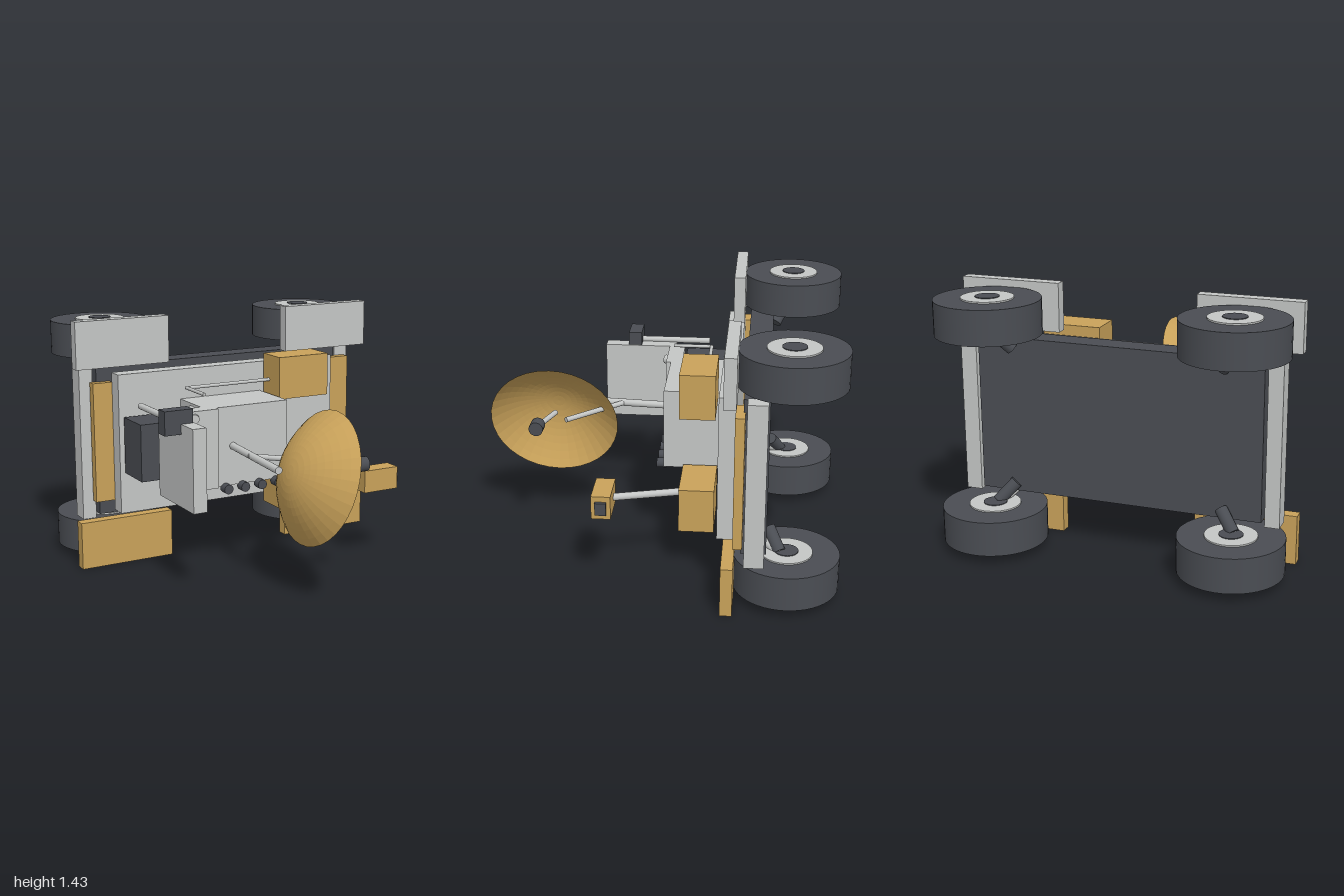
import * as THREE from 'three';

export function createModel() {
  const model = new THREE.Group();
  model.name = 'rover';
  const mat = (name, color) => {
    const m = new THREE.MeshStandardMaterial({ color });
    m.name = name;
    return m;
  };
  const grey = mat('light grey', 0xc4c6c5);
  const gold = mat('gold', 0xc9a25a);
  const dark = mat('dark grey', 0x4a4d53);
  gold.side = THREE.DoubleSide;

  const add = (name, geometry, material) => {
    const mesh = new THREE.Mesh(geometry, material);
    mesh.name = name;
    model.add(mesh);
    return mesh;
  };
  // Box given by its limits along each axis
  const box = (name, m, x0, x1, y0, y1, z0, z1) =>
    add(name, new THREE.BoxGeometry(x1 - x0, y1 - y0, z1 - z0), m)
      .position.set((x0 + x1) / 2, (y0 + y1) / 2, (z0 + z1) / 2);
  // Round bar between two points
  const rod = (name, m, from, to, r, sides = 16) => {
    const a = new THREE.Vector3(...from), b = new THREE.Vector3(...to);
    const d = b.clone().sub(a);
    const mesh = add(name, new THREE.CylinderGeometry(r, r, d.length(), sides), m);
    mesh.position.copy(a).add(b).multiplyScalar(0.5);
    mesh.quaternion.setFromUnitVectors(new THREE.Vector3(0, 1, 0), d.normalize());
    return mesh;
  };

  // Chassis, deck and cross beams
  box('chassis', dark, -0.8, 0.79, 0.285, 1.155, -0.61, -0.475);
  box('deck', grey, -0.72, 0.69, 0.31, 1.12, -0.44, -0.345);
  box('beam', grey, -0.895, -0.815, 0.26, 1.17, -0.6, -0.495);
  box('beam', grey, 0.81, 0.9, 0.26, 1.17, -0.6, -0.495);
  box('endPanel', gold, -0.835, -0.72, 0.37, 1.065, -0.485, -0.435);
  box('endPanel', gold, 0.69, 0.87, 0.35, 1.085, -0.485, -0.435);

  // Wheels, fenders and suspension arms
  for (const sx of [-1, 1]) {
    for (const sy of [-1, 1]) {
      const x = sx * 0.67, y = 0.72 + sy * 0.575, z = -0.718;
      const disc = (name, m, r, h) =>
        rod(name, m, [x, y - h / 2, z], [x, y + h / 2, z], r, 48);
      disc('tire', dark, 0.284, 0.19);
      disc('hub', grey, 0.14, 0.206);
      disc('hubCap', dark, 0.064, 0.214);
      const [y0, y1] = sy > 0 ? [1.16, 1.43] : [0, 0.275];
      box('fender', sy > 0 ? grey : gold, x - 0.283, x + 0.283, y0, y1, -0.443, -0.378);
      const py = (v) => 0.72 + sy * v;
      rod('upperArm', grey, [sx * 0.585, py(0.41), -0.56], [x, py(0.49), -0.68], 0.028);
      rod('lowerArm', dark, [sx * 0.585, py(0.38), -0.62], [x, py(0.48), -0.68], 0.035);
    }
  }

  // Body and seat
  box('body', grey, -0.335, 0.19, 0.487, 0.945, -0.345, -0.02);
  box('seat', grey, -0.555, -0.27, 0.487, 0.945, -0.085, 0.008);
  box('backrest', grey, -0.62, -0.54, 0.487, 0.945, -0.03, 0.395);
  for (const y of [0.525, 0.905])
    rod('seatStrut', grey, [-0.33, y, -0.21], [-0.425, y, 0.025], 0.026);
  for (let i = 0; i < 4; i++) {
    const x = -0.215 + i * 0.109;
    rod('knob', dark, [x, 0.475, -0.03], [x, 0.475, 0.025], 0.028, 20);
  }

  // Control console beside the seat
  box('battery', dark, -0.7, -0.41, 0.555, 0.88, -0.32, -0.09);
  rod('consolePost', grey, [-0.635, 0.955, -0.23], [-0.635, 0.955, 0.2], 0.018);
  box('console', dark, -0.715, -0.55, 0.89, 1.022, 0.18, 0.257);

  // Storage boxes and the bent handle
  box('storageBox', gold, 0.203, 0.532, 0.925, 1.173, -0.322, -0.13);
  box('storageBox', gold, 0.203, 0.532, 0.262, 0.51, -0.322, -0.13);
  rod('handleBar', grey, [0.21, 1.025, -0.255], [-0.335, 1.025, -0.255], 0.01);
  rod('handleTip', grey, [-0.335, 1.025, -0.262], [-0.335, 1.025, -0.035], 0.01);

  // Camera
  rod('cameraArm', grey, [0.495, 0.487, -0.15], [0.6, 0.487, 0.23], 0.02);
  box('camera', gold, 0.512, 0.738, 0.425, 0.555, 0.213, 0.317);
  box('lens', dark, 0.735, 0.758, 0.455, 0.525, 0.235, 0.295);

  // Dish antenna: faceted paraboloid, facing +x and slightly down
  const R = 0.369, depth = 0.187;
  const profile = [];
  for (let i = 0; i <= 10; i++) {
    const t = i / 10;
    profile.push(new THREE.Vector2(R * t, depth * (t * t - 1)));
  }
  const dishGeometry = new THREE.LatheGeometry(profile, 36).toNonIndexed();
  dishGeometry.computeVertexNormals();
  const dish = add('dish', dishGeometry, gold);
  dish.position.set(0, 0.66, 0.632);
  dish.quaternion.setFromUnitVectors(
    new THREE.Vector3(0, 1, 0), new THREE.Vector3(0.955, -0.298, 0).normalize());

  // Dish mast, brace and feed
  rod('dishMast', grey, [-0.165, 0.715, -0.03], [-0.212, 0.715, 0.58], 0.021);
  rod('dishBrace', grey, [-0.2, 0.715, 0.23], [0.105, 0.715, 0.545], 0.015);
  rod('feedRod', grey, [0, 0.715, 0.622], [0.2, 0.715, 0.685], 0.015);
  rod('feed', dark, [0.187, 0.718, 0.69], [0.263, 0.718, 0.69], 0.04, 20);

  return model;
}
